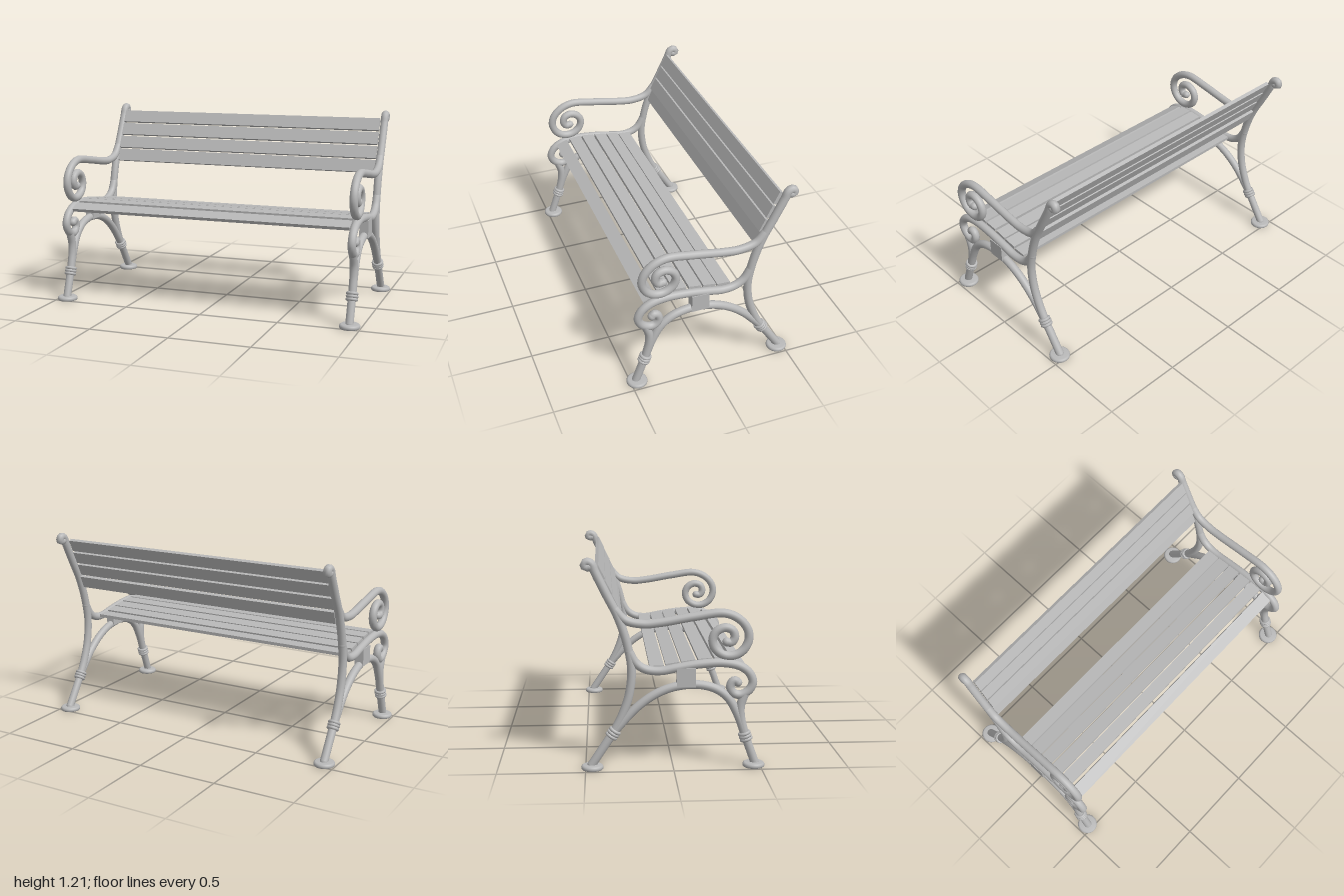
import * as THREE from 'three';

const R = 0.025;      // iron bar radius
const SIDE_X = 0.935; // end frames sit at +x and -x
const iron = new THREE.MeshStandardMaterial({ color: 0xb8b8b8 });
iron.name = 'light grey';

function add(parent, name, geometry, x = 0, y = 0, z = 0) {
  const mesh = new THREE.Mesh(geometry, iron);
  mesh.name = name;
  mesh.position.set(x, y, z);
  parent.add(mesh);
  return mesh;
}

// Round bar through [z, y] points, with rounded ends
function bar(parent, name, points, segments) {
  const path = points.map(([z, y]) => new THREE.Vector3(0, y, z));
  const group = new THREE.Group();
  group.name = name;
  parent.add(group);
  const curve = new THREE.CatmullRomCurve3(path, false, 'centripetal');
  add(group, name + 'Bar', new THREE.TubeGeometry(curve, segments, R, 14));
  for (const p of [path[0], path[path.length - 1]]) {
    add(group, name + 'End', new THREE.SphereGeometry(R, 14, 10), p.x, p.y, p.z);
  }
}

// Three stacked rings around a leg, leaning along the leg
function collar(parent, name, z, y, lean) {
  const group = new THREE.Group();
  group.name = name;
  group.position.set(0, y, z);
  group.rotation.x = lean;
  for (const h of [-0.018, 0, 0.018]) {
    add(group, 'collarRing', new THREE.TorusGeometry(0.028, 0.01, 10, 24), 0, h, 0).rotation.x = Math.PI / 2;
  }
  parent.add(group);
}

function foot(parent, name, z) {
  const profile = [[0, 0], [0.058, 0], [0.0625, 0.005], [0.0635, 0.014], [0.06, 0.022], [0.052, 0.027], [0, 0.028]];
  add(parent, name, new THREE.LatheGeometry(profile.map(p => new THREE.Vector2(...p)), 32), 0, 0, z);
}

function endFrame(name, x) {
  const frame = new THREE.Group();
  frame.name = name;
  frame.position.x = x;

  bar(frame, 'backPost', [
    [-0.467, 1.157], [-0.486, 1.154], [-0.493, 1.173], [-0.477, 1.184], [-0.454, 1.173],
    [-0.435, 1.128], [-0.374, 1.003], [-0.31, 0.875], [-0.258, 0.715], [-0.236, 0.57],
    [-0.252, 0.426], [-0.294, 0.304], [-0.339, 0.215]], 90);

  bar(frame, 'armrest', [
    [-0.33, 0.92], [-0.27, 0.858], [-0.17, 0.835], [-0.075, 0.842], [0.117, 0.874],
    [0.278, 0.893], [0.358, 0.866], [0.411, 0.812], [0.426, 0.752], [0.402, 0.69],
    [0.352, 0.654], [0.29, 0.652], [0.236, 0.688], [0.22, 0.74], [0.24, 0.787],
    [0.288, 0.81], [0.333, 0.794], [0.345, 0.755], [0.326, 0.726], [0.299, 0.728]], 130);

  bar(frame, 'seatRail', [
    [-0.252, 0.683], [-0.21, 0.612], [-0.156, 0.577], [-0.075, 0.567], [0.02, 0.583],
    [0.149, 0.603], [0.278, 0.609], [0.374, 0.59], [0.429, 0.551], [0.451, 0.497],
    [0.429, 0.449], [0.38, 0.423], [0.342, 0.433], [0.323, 0.468], [0.335, 0.5],
    [0.353, 0.506], [0.366, 0.494]], 110);

  bar(frame, 'legArch', [
    [0.467, 0.026], [0.412, 0.18], [0.368, 0.304], [0.31, 0.407], [0.239, 0.46],
    [0.149, 0.484], [0.069, 0.484], [-0.027, 0.465], [-0.124, 0.42], [-0.22, 0.346],
    [-0.294, 0.266], [-0.342, 0.208], [-0.465, 0.026]], 90);

  bar(frame, 'frontStrut', [
    [0.406, 0.428], [0.384, 0.362], [0.384, 0.298], [0.4, 0.224], [0.412, 0.18]], 30);

  add(frame, 'railBlock', new THREE.BoxGeometry(0.056, 0.11, 0.108), 0, 0.53, 0.072);
  collar(frame, 'frontCollar', 0.412, 0.18, -0.33);
  collar(frame, 'backCollar', -0.342, 0.208, 0.6);
  foot(frame, 'frontFoot', 0.462);
  foot(frame, 'backFoot', -0.462);
  return frame;
}

export function createModel() {
  const bench = new THREE.Group();
  bench.name = 'parkBench';
  bench.add(endFrame('leftFrame', SIDE_X), endFrame('rightFrame', -SIDE_X));

  // Seat slats: centre z, centre y, tilt
  const seat = [
    [0.37, 0.598, 0.38], [0.274, 0.622, 0.06], [0.183, 0.62, -0.08],
    [0.088, 0.609, -0.14], [-0.002, 0.596, -0.14], [-0.092, 0.582, -0.04]];
  for (const [z, y, tilt] of seat) {
    add(bench, 'seatSlat', new THREE.BoxGeometry(1.82, 0.02, 0.081), 0, y, z).rotation.x = tilt;
  }

  // Back slats: centre y, centre z, backward lean
  const back = [[0.859, -0.305, -0.4], [0.947, -0.328, -0.46], [1.034, -0.368, -0.46], [1.12, -0.407, -0.46]];
  for (const [y, z, lean] of back) {
    add(bench, 'backSlat', new THREE.BoxGeometry(1.82, 0.083, 0.022), 0, y, z).rotation.x = lean;
  }
  return bench;
}
